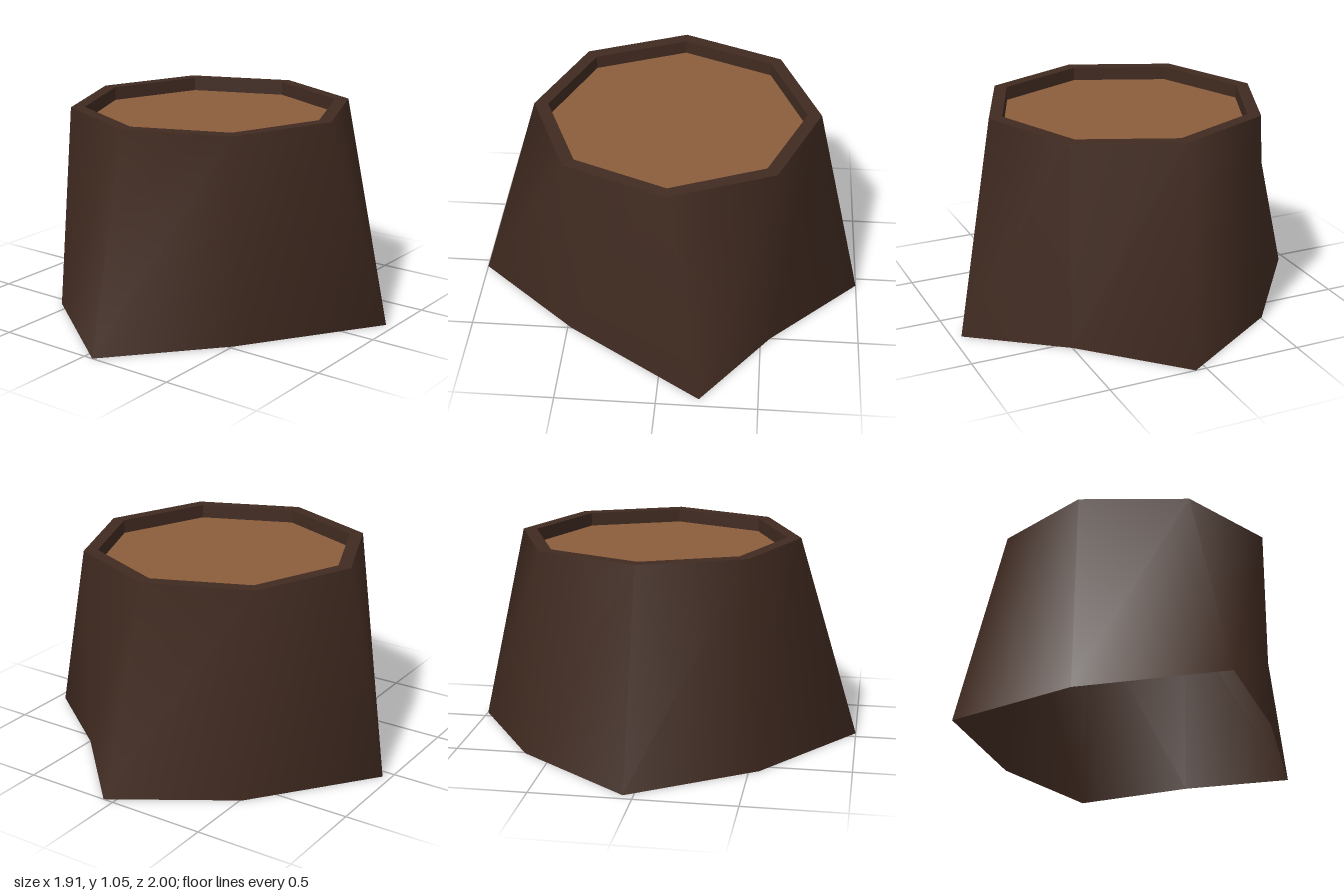
import * as THREE from 'three';

const SIDES = 8, HEIGHT = 1.05, DEPTH = 0.07;
const OUTER = 0.72, INNER = 0.65;
const CX = -0.01, CZ = -0.03;

// Irregular flared foot outline [x, z], from the front round through the left (+x) side
const FOOT = [
  [0.05, 1], [0.5, 0.48], [0.955, -0.21], [0.5, -0.55],
  [0.055, -1], [-0.51, -0.64], [-0.96, -0.05], [-0.56, 0.55],
];

// Octagonal top lofted down to the flared foot, smooth and open below
function barkGeometry() {
  const positions = [], index = [];
  for (let i = 0; i < SIDES; i++) {
    const a = (i / SIDES) * Math.PI * 2;
    positions.push(CX + OUTER * Math.sin(a), HEIGHT, CZ + OUTER * Math.cos(a));
    positions.push(FOOT[i][0], 0, FOOT[i][1]);
    const j = (i + 1) % SIDES;
    index.push(2 * i, 2 * i + 1, 2 * j, 2 * i + 1, 2 * j + 1, 2 * j);
  }
  const g = new THREE.BufferGeometry();
  g.setAttribute('position', new THREE.Float32BufferAttribute(positions, 3));
  g.setIndex(index);
  g.computeVertexNormals();
  return g;
}

export function createModel() {
  const bark = new THREE.MeshStandardMaterial({ color: 0x412b21, side: THREE.DoubleSide });
  bark.name = 'dark bark';
  const wood = new THREE.MeshStandardMaterial({ color: 0x8b5e3c, side: THREE.DoubleSide });
  wood.name = 'cut wood';

  const group = new THREE.Group();
  group.name = 'treeStump';
  const add = (name, geometry, material) => {
    const mesh = new THREE.Mesh(geometry, material);
    mesh.name = name;
    group.add(mesh);
  };

  add('barkSide', barkGeometry(), bark);

  // Flat rim around the cut
  const rim = new THREE.RingGeometry(INNER, OUTER, SIDES);
  rim.rotateX(-Math.PI / 2).translate(CX, HEIGHT, CZ);
  add('barkRim', rim, bark);

  // Short faceted wall inside the rim
  const wall = new THREE.CylinderGeometry(INNER, INNER, DEPTH, SIDES, 1, true).toNonIndexed();
  wall.translate(CX, HEIGHT - DEPTH / 2, CZ);
  wall.computeVertexNormals();
  add('innerWall', wall, bark);

  // Recessed cut surface
  const cut = new THREE.CircleGeometry(INNER, SIDES);
  cut.rotateX(-Math.PI / 2).translate(CX, HEIGHT - DEPTH, CZ);
  add('cutSurface', cut, wood);

  return group;
}
